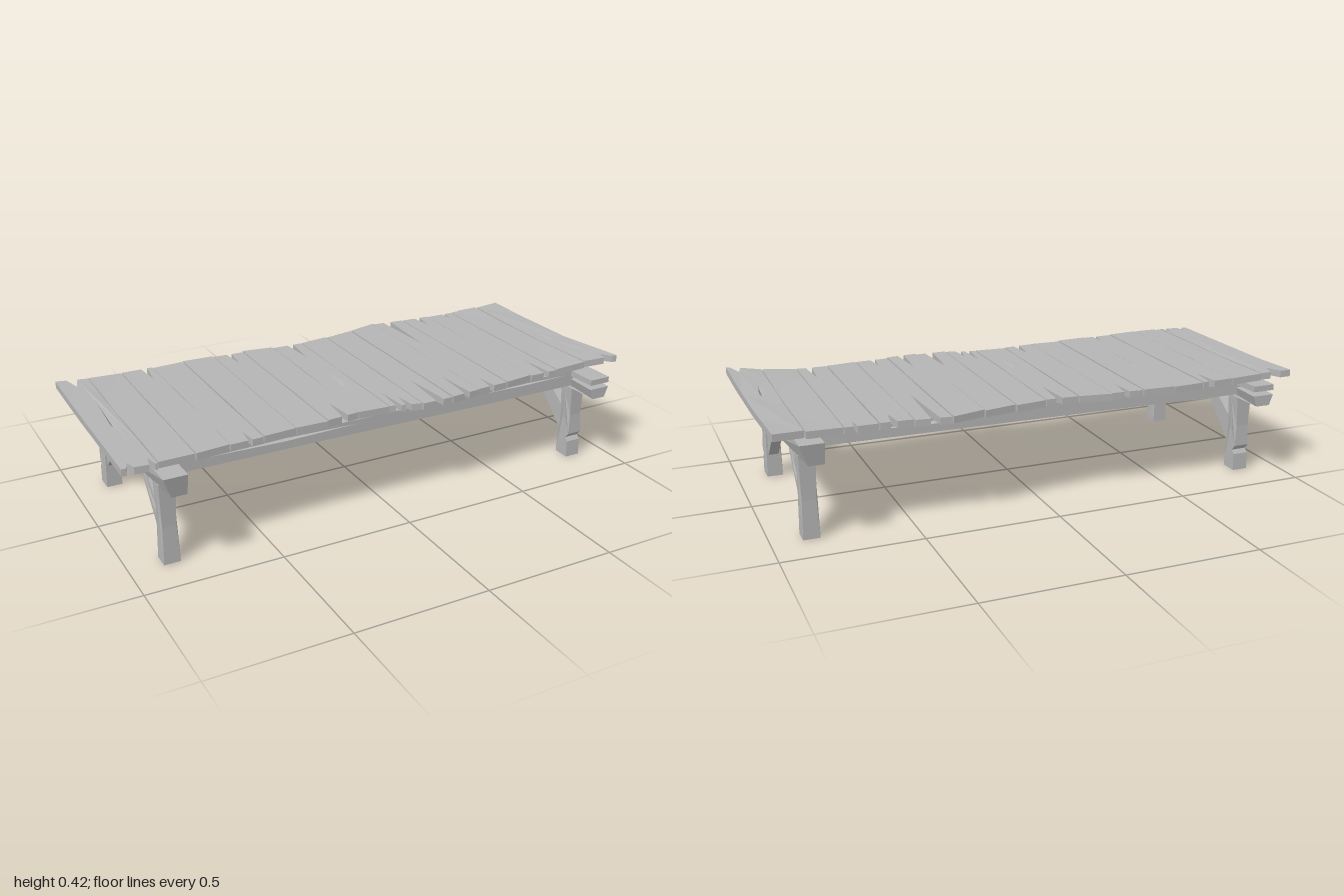
import * as THREE from 'three';
import { mergeGeometries } from 'three/addons/utils/BufferGeometryUtils.js';

const wood = new THREE.MeshStandardMaterial({ color: 0xb4b4b4 });
wood.name = 'grey wood';

let seed = 7;
const jitter = (a) => {
  seed = (seed * 16807) % 2147483647;
  return (seed / 2147483647 - 0.5) * 2 * a;
};

// Extruded board. Each crack [u, v, halfWidth, halfLength, depth, alongU] is a sunken V groove in its outer face.
function board(points, depth, cracks = []) {
  const shape = new THREE.Shape(points.map((p) => new THREE.Vector2(p[0], p[1])));
  const grooves = [];
  for (const [u, v, h, l, d, alongU] of cracks) {
    const [a, b] = alongU ? [l, h] : [h, l];
    const rim = [[u + a, v], [u, v + b], [u - a, v], [u, v - b]];
    shape.holes.push(new THREE.Path(rim.map((p) => new THREE.Vector2(p[0], p[1])).reverse()));
    for (let i = 0; i < 4; i++) {
      const p = rim[i], q = rim[(i + 1) % 4];
      grooves.push(...p, depth, ...q, depth, u, v, depth - d); // groove slope
      grooves.push(...q, 0, ...p, 0, u, v, 0); // closed back
    }
  }
  const body = new THREE.ExtrudeGeometry(shape, { depth, bevelEnabled: false });
  body.deleteAttribute('uv');
  if (!grooves.length) return body;
  const groove = new THREE.BufferGeometry();
  groove.setAttribute('position', new THREE.Float32BufferAttribute(grooves, 3));
  groove.computeVertexNormals();
  return mergeGeometries([body, groove]);
}

// Move every vertex by a rule and refresh the flat normals
function warp(geo, rule) {
  const pos = geo.attributes.position, v = new THREE.Vector3();
  for (let i = 0; i < pos.count; i++) {
    rule(v.fromBufferAttribute(pos, i));
    pos.setXYZ(i, v.x, v.y, v.z);
  }
  geo.computeVertexNormals();
  return geo;
}

function add(parent, name, geo) {
  const mesh = new THREE.Mesh(geo, wood);
  mesh.name = name;
  parent.add(mesh);
  return mesh;
}

// Warped corners of the table top
function curl(x, z) {
  const right = Math.max(0, (x - 0.72) / 0.28), left = Math.max(0, (-x - 0.72) / 0.28);
  const f = Math.max(0, z + 0.05) / 0.44, b = Math.max(0, -z - 0.05) / 0.38;
  return right * (0.026 * f * f + 0.008 * b * b) + left * (0.012 * b * b - 0.004 * f);
}

function makeTop() {
  const top = new THREE.Group();
  top.name = 'tableTop';
  const seams = [-1, -0.88, -0.75, -0.625, -0.5, -0.375, -0.25, -0.125, 0, 0.12, 0.245, 0.37, 0.5, 0.62, 0.74, 0.87, 0.99];
  const back = [-0.41, -0.4, -0.405, -0.4, -0.405, -0.4, -0.395, -0.38, -0.375, -0.385, -0.4, -0.425, -0.41, -0.4, -0.4, -0.395, -0.405];
  const front = [0.37, 0.375, 0.375, 0.365, 0.36, 0.35, 0.35, 0.34, 0.345, 0.38, 0.385, 0.37, 0.355, 0.345, 0.345, 0.355, 0.385];
  // Splits at the plank ends: x, half width, z of the tip
  const splits = [
    [-0.94, 0.02, -0.34], [-0.66, 0.012, -0.29], [-0.31, 0.01, -0.29], [-0.05, 0.012, -0.22],
    [0.43, 0.016, -0.13], [0.57, 0.012, -0.32], [0.7, 0.006, -0.34],
    [-0.97, 0.012, 0.33], [-0.9, 0.01, 0.33], [-0.55, 0.008, 0.29], [-0.18, 0.012, 0.22],
    [0.035, 0.01, 0.22], [0.07, 0.01, 0.28], [0.19, 0.016, 0.17], [0.31, 0.012, 0.2],
    [0.43, 0.01, 0.28], [0.69, 0.012, 0.21], [0.96, 0.012, 0.33],
  ];
  // Closed grooves: x, z, half width, half length
  const cracks = [[-0.915, 0.025, 0.014, 0.215], [-0.05, 0.075, 0.014, 0.115], [0.92, 0.07, 0.013, 0.09]];

  for (let i = 0; i < 16; i++) {
    const x0 = seams[i] + (i ? 0.002 : 0), x1 = seams[i + 1] - 0.002;
    const inside = (s) => s[0] > x0 && s[0] < x1;
    const end = (edge, sign) => {
      const a = edge[i] + jitter(0.006), b = edge[i + 1] + jitter(0.006);
      const at = (x) => -(a + ((b - a) * (x - x0)) / (x1 - x0));
      const pts = [[x0, at(x0)]];
      for (const [x, h, tip] of splits.filter((s) => inside(s) && s[2] * sign > 0))
        pts.push([x - h, at(x - h)], [x, -tip], [x + h, at(x + h)]);
      pts.push([x1, at(x1)]);
      return pts;
    };
    const sides = [-0.22, -0.08, 0.08, 0.22];
    const outline = [
      ...end(front, 1),
      ...sides.map((v) => [x1 + jitter(0.0015), v]),
      ...end(back, -1).reverse(),
      ...sides.slice().reverse().map((v) => [x0 + jitter(0.0015), v]),
    ];
    const grooves = cracks.filter(inside).map(([x, z, h, l]) => [x, -z, h, l, 0.02]);
    const lift = 0.372 + jitter(0.002);
    const geo = board(outline, 0.026, grooves).rotateX(-Math.PI / 2);
    add(top, 'plank', warp(geo, (v) => {
      v.y += lift + curl(v.x, v.z);
      if (v.x > 0.97) v.x += Math.max(-0.01, v.z * 0.03); // last plank widens to the front
    }));
  }
  return top;
}

// One end trestle; outlines are in (-z, y) and are extruded along x
function makeTrestle(name) {
  const trestle = new THREE.Group();
  trestle.name = name;
  const along = (pts, x, width, cracks) => board(pts, width, cracks).rotateY(Math.PI / 2).translate(x, 0, 0);

  // Cross beam, split from its front end
  const beam = along([
    [-0.46, 0.297], [-0.2, 0.302], [0.15, 0.3], [0.44, 0.295], [0.46, 0.375], [0.2, 0.371],
    [-0.1, 0.371], [-0.46, 0.377], [-0.46, 0.355], [-0.2, 0.349], [0.22, 0.343], [-0.2, 0.343], [-0.46, 0.338],
  ], 0.82, 0.085);
  add(trestle, 'crossBeam', warp(beam, (v) => {
    if (v.z < -0.4 && v.y < 0.31 && v.x > 0.87) v.x -= 0.03;
    if (v.z > 0.4 && v.y < 0.31) v.x += v.x > 0.87 ? -0.015 : 0.015;
  }));

  // Legs with a long groove on the outer face
  const legs = [
    ['frontLeg', [[-0.342, 0], [-0.275, 0], [-0.279, 0.16], [-0.275, 0.305], [-0.34, 0.305],
      [-0.337, 0.18], [-0.342, 0.1], [-0.325, 0.08], [-0.338, 0.065]], [-0.3, 0.155, 0.009, 0.12, 0.025]],
    ['backLeg', [[0.298, 0], [0.358, 0], [0.354, 0.14], [0.358, 0.305], [0.3, 0.305],
      [0.302, 0.17]], [0.328, 0.165, 0.01, 0.13, 0.025]],
  ];
  for (const [legName, pts, crack] of legs) {
    add(trestle, legName, warp(along(pts, 0.83, 0.06, [crack]), (v) => {
      if (v.y > 0.12 && v.y < 0.2) v.x += v.x < 0.84 ? 0.006 : v.x > 0.88 ? -0.004 : 0;
    }));
  }

  // Diagonal braces
  add(trestle, 'frontBrace', along(
    [[-0.285, 0.08], [-0.06, 0.305], [-0.08, 0.312], [-0.14, 0.298], [-0.285, 0.19]], 0.842, 0.038,
    [[-0.195, 0.2, 0.01, 0.02, 0.015, true]]));
  add(trestle, 'backBrace', along(
    [[0.305, 0.09], [0.24, 0.165], [0.165, 0.25], [0.122, 0.305], [0.155, 0.305], [0.21, 0.22], [0.305, 0.145]], 0.842, 0.038));
  add(trestle, 'backBraceSplinter', along(
    [[0.305, 0.15], [0.21, 0.224], [0.16, 0.305], [0.18, 0.29], [0.305, 0.168]], 0.85, 0.025));
  return trestle;
}

// Long rail under the planks, grooved on its outer face
function makeRail(name) {
  const geo = board([
    [-0.83, 0.322], [-0.3, 0.32], [0.3, 0.316], [0.83, 0.312], [0.83, 0.374], [0.3, 0.371], [-0.3, 0.371], [-0.83, 0.374],
  ], 0.055, [[-0.41, 0.356, 0.006, 0.28, 0.025, true], [0.6, 0.36, 0.004, 0.2, 0.02, true]]);
  const rail = new THREE.Group();
  rail.name = name;
  add(rail, 'rail', geo.translate(0, 0, 0.285));
  return rail;
}

export function createModel() {
  const model = new THREE.Group();
  model.name = 'plankTable';
  model.add(makeTop());

  const leftTrestle = makeTrestle('leftTrestle');
  const rightTrestle = makeTrestle('rightTrestle');
  rightTrestle.rotation.y = Math.PI;
  rightTrestle.position.x = 0.01;
  model.add(leftTrestle, rightTrestle);

  const backRail = makeRail('backRail');
  backRail.rotation.y = Math.PI;
  model.add(makeRail('frontRail'), backRail);
  return model;
}
